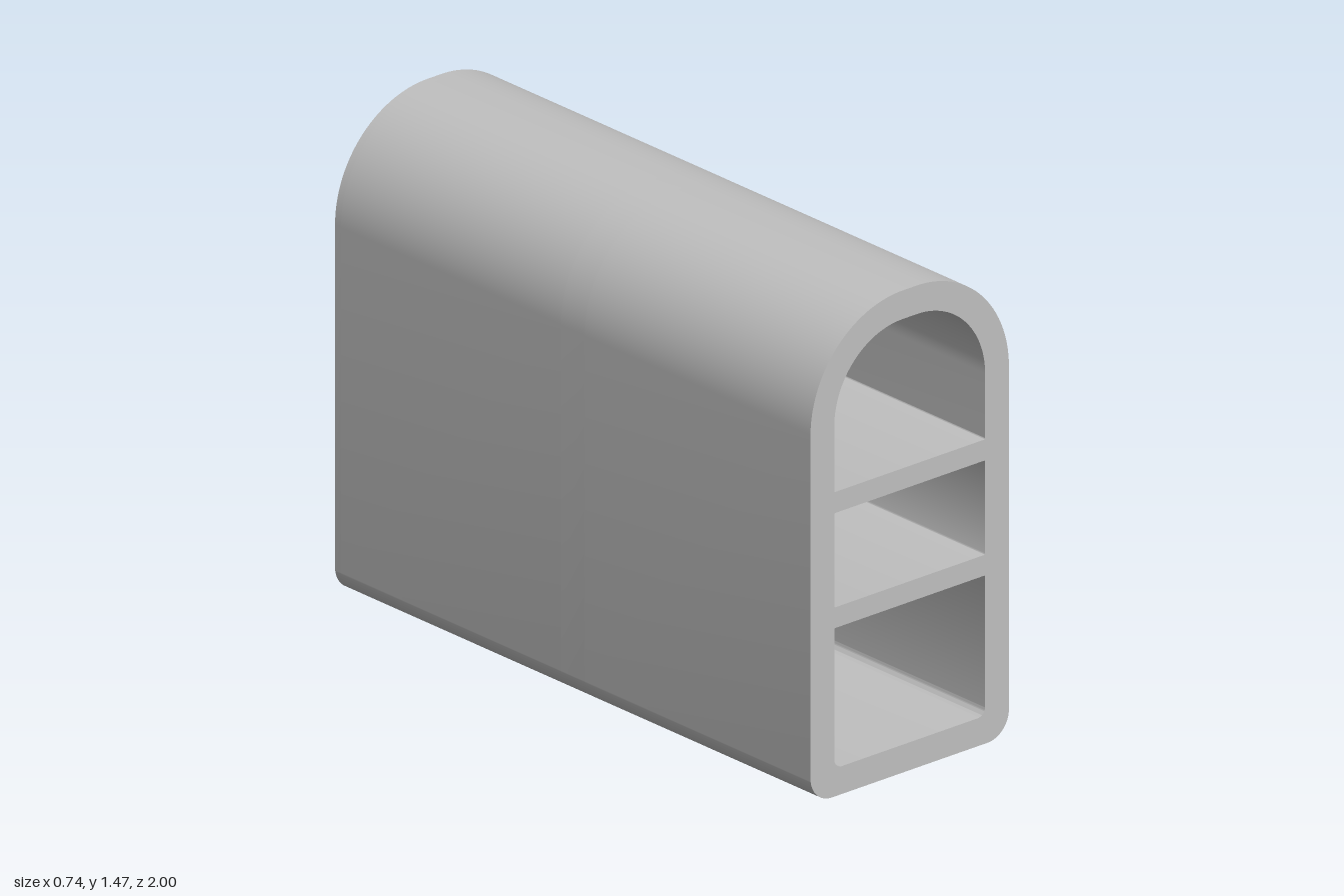
import * as THREE from 'three';
import { toCreasedNormals } from 'three/addons/utils/BufferGeometryUtils.js';

const grey = new THREE.MeshStandardMaterial({ color: 0xc0c0c0 });
grey.name = 'plain grey';

// Arched outline: rounded bottom corners, large rounded top corners.
function archPath(path, half, bottom, top, rBottom, rTop) {
  path.moveTo(-half + rBottom, bottom);
  path.lineTo(half - rBottom, bottom);
  path.absarc(half - rBottom, bottom + rBottom, rBottom, -Math.PI / 2, 0, false);
  path.lineTo(half, top - rTop);
  path.absarc(half - rTop, top - rTop, rTop, 0, Math.PI / 2, false);
  path.lineTo(-half + rTop, top);
  path.absarc(-half + rTop, top - rTop, rTop, Math.PI / 2, Math.PI, false);
  path.lineTo(-half, bottom + rBottom);
  path.absarc(-half + rBottom, bottom + rBottom, rBottom, Math.PI, Math.PI * 1.5, false);
  return path;
}

// Cavity outline with chamfered top corners and rounded bottom corners.
function chamferPath(half, bottom, top, r, shoulder, topHalf) {
  const path = new THREE.Path();
  path.moveTo(-half + r, bottom);
  path.lineTo(half - r, bottom);
  path.absarc(half - r, bottom + r, r, -Math.PI / 2, 0, false);
  path.lineTo(half, shoulder);
  path.lineTo(topHalf, top);
  path.lineTo(-topHalf, top);
  path.lineTo(-half, shoulder);
  path.lineTo(-half, bottom + r);
  path.absarc(-half + r, bottom + r, r, Math.PI, Math.PI * 1.5, false);
  return path;
}

function circlePath(x, y, r) {
  return new THREE.Path().absarc(x, y, r, 0, Math.PI * 2, false);
}

// One slice of the housing between two depths, pierced by the given holes.
function slice(name, z0, z1, holes) {
  const shape = archPath(new THREE.Shape(), 0.371, 0, 1.467, 0.08, 0.345);
  shape.holes.push(...holes);
  const geometry = new THREE.ExtrudeGeometry(shape, {
    depth: z1 - z0, bevelEnabled: false, curveSegments: 20,
  });
  geometry.translate(0, 0, z0);
  const mesh = new THREE.Mesh(toCreasedNormals(geometry, Math.PI / 6), grey);
  mesh.name = name;
  return mesh;
}

export function createModel() {
  const model = new THREE.Group();
  model.name = 'archedHousing';

  // Front half: three stacked compartments
  model.add(slice('frontCompartments', 0.05, 1, [
    archPath(new THREE.Path(), 0.282, 0.926, 1.38, 0.004, 0.255),
    archPath(new THREE.Path(), 0.282, 0.575, 0.862, 0.005, 0.005),
    archPath(new THREE.Path(), 0.282, 0.085, 0.512, 0.028, 0.004),
  ]));

  // Inner wall with two large and two small round openings
  model.add(slice('dividingWall', -0.05, 0.05, [
    circlePath(0, 1.078, 0.15),
    circlePath(0, 0.362, 0.15),
    circlePath(-0.13, 0.72, 0.05),
    circlePath(0.13, 0.72, 0.05),
  ]));

  // Rear half: single open cavity
  model.add(slice('rearCavity', -0.975, -0.05, [
    chamferPath(0.282, 0.085, 1.36, 0.04, 1.236, 0.169),
  ]));

  // Wider recess at the rear edge, leaving a ledge for a cover
  model.add(slice('rearRim', -1, -0.975, [
    chamferPath(0.31, 0.06, 1.388, 0.06, 1.247, 0.181),
  ]));

  return model;
}
